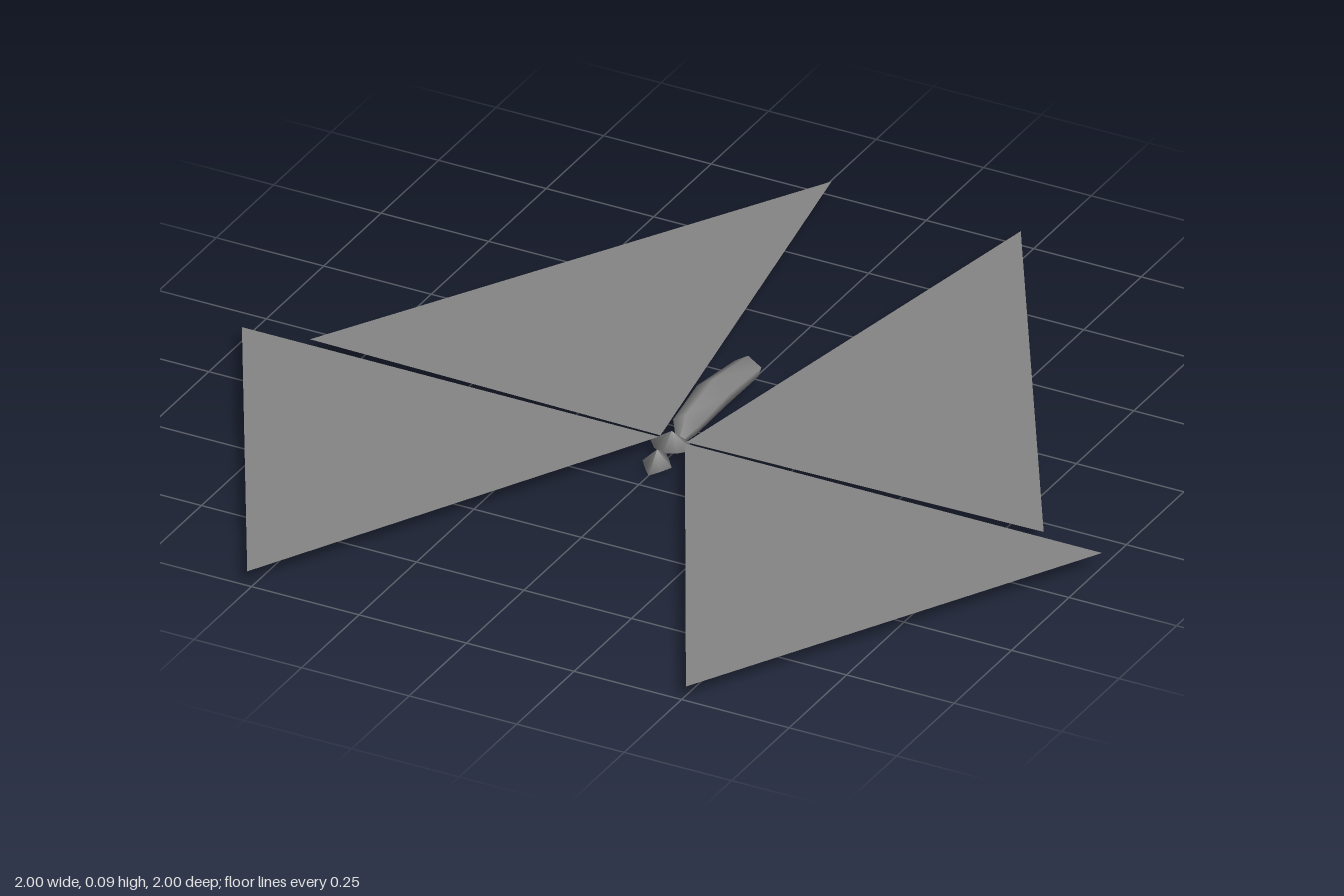
import * as THREE from 'three';

const material = new THREE.MeshStandardMaterial({ color: 0x848484 });
const wingMaterial = new THREE.MeshStandardMaterial({ color: 0x848484, side: THREE.DoubleSide });

// Skin between closed rings of equal point count; a ring of one repeated point makes a tip
function loft(rings) {
  const n = rings[0].length;
  const index = [];
  for (let k = 0; k < rings.length - 1; k++) {
    for (let i = 0; i < n; i++) {
      const a = k * n + i, b = k * n + (i + 1) % n;
      index.push(a, a + n, b, b, a + n, b + n);
    }
  }
  const g = new THREE.BufferGeometry();
  g.setAttribute('position', new THREE.Float32BufferAttribute(rings.flat(2), 3));
  g.setIndex(index);
  g.computeVertexNormals();
  return g;
}

const tip = (n, p) => Array.from({ length: n }, () => p);

function addMesh(parent, name, geometry, mat = material) {
  const mesh = new THREE.Mesh(geometry, mat);
  mesh.name = name;
  parent.add(mesh);
  return mesh;
}

// Low peak over an eight-point outline: apex, rim, underside point.
// bulgeX and bulgeZ pull in the diagonal corners: 1 is round, 0.7 a diamond
function peak(rx, rz, z, baseY, tilt, apexY, bulgeX, bulgeZ) {
  const rim = Array.from({ length: 8 }, (_, i) => {
    const a = i * Math.PI / 4;
    const dx = Math.cos(a) * rx * (i % 2 ? bulgeX : 1);
    const dz = -Math.sin(a) * rz * (i % 2 ? bulgeZ : 1);
    return [dx, baseY - tilt * dz, z + dz];
  });
  return loft([tip(8, [0, apexY, z]), rim, tip(8, [0, baseY - 0.004, z])]);
}

// Flat triangular wing, corners given as [x, z]
function wing(corners) {
  const g = new THREE.BufferGeometry();
  const pts = corners.flatMap(([x, z]) => [x, 0.036, z]);
  g.setAttribute('position', new THREE.Float32BufferAttribute(pts, 3));
  g.computeVertexNormals();
  return g;
}

export function createModel() {
  const model = new THREE.Group();
  model.name = 'butterfly';

  // Arched abdomen: hexagonal sections [z, half width, bottom, top] between two low tips
  const sections = [
    [0.045, 0.03, 0.013, 0.065],
    [-0.075, 0.038, 0.02, 0.09],
    [-0.225, 0.031, 0.015, 0.07],
  ].map(([z, w, lo, hi]) => {
    const up = lo + (hi - lo) * 0.64, down = lo + (hi - lo) * 0.2, v = w * 0.75;
    return [[0, lo, z], [v, down, z], [w, up, z], [0, hi, z], [-w, up, z], [-v, down, z]];
  });
  addMesh(model, 'abdomen', loft([
    tip(6, [0, 0.01, 0.085]), ...sections, tip(6, [0, 0.013, -0.257]),
  ]));

  // Thorax and head
  addMesh(model, 'thorax', peak(0.05, 0.039, 0.107, 0.025, 0, 0.058, 0.74, 1));
  addMesh(model, 'head', peak(0.034, 0.037, 0.171, 0.012, 0.25, 0.046, 0.74, 0.74));

  // Mirrored pairs of wings
  for (const [side, s] of [['left', 1], ['right', -1]]) {
    const pair = new THREE.Group();
    pair.name = side + 'Wings';
    pair.scale.x = s;
    addMesh(pair, side + 'FrontWing', wing([[0.03, 0.106], [0.51, 1], [1, 0.106]]), wingMaterial);
    addMesh(pair, side + 'RearWing', wing([[0.03, 0.1], [0.853, 0.085], [0.22, -1]]), wingMaterial);
    model.add(pair);
  }
  return model;
}
